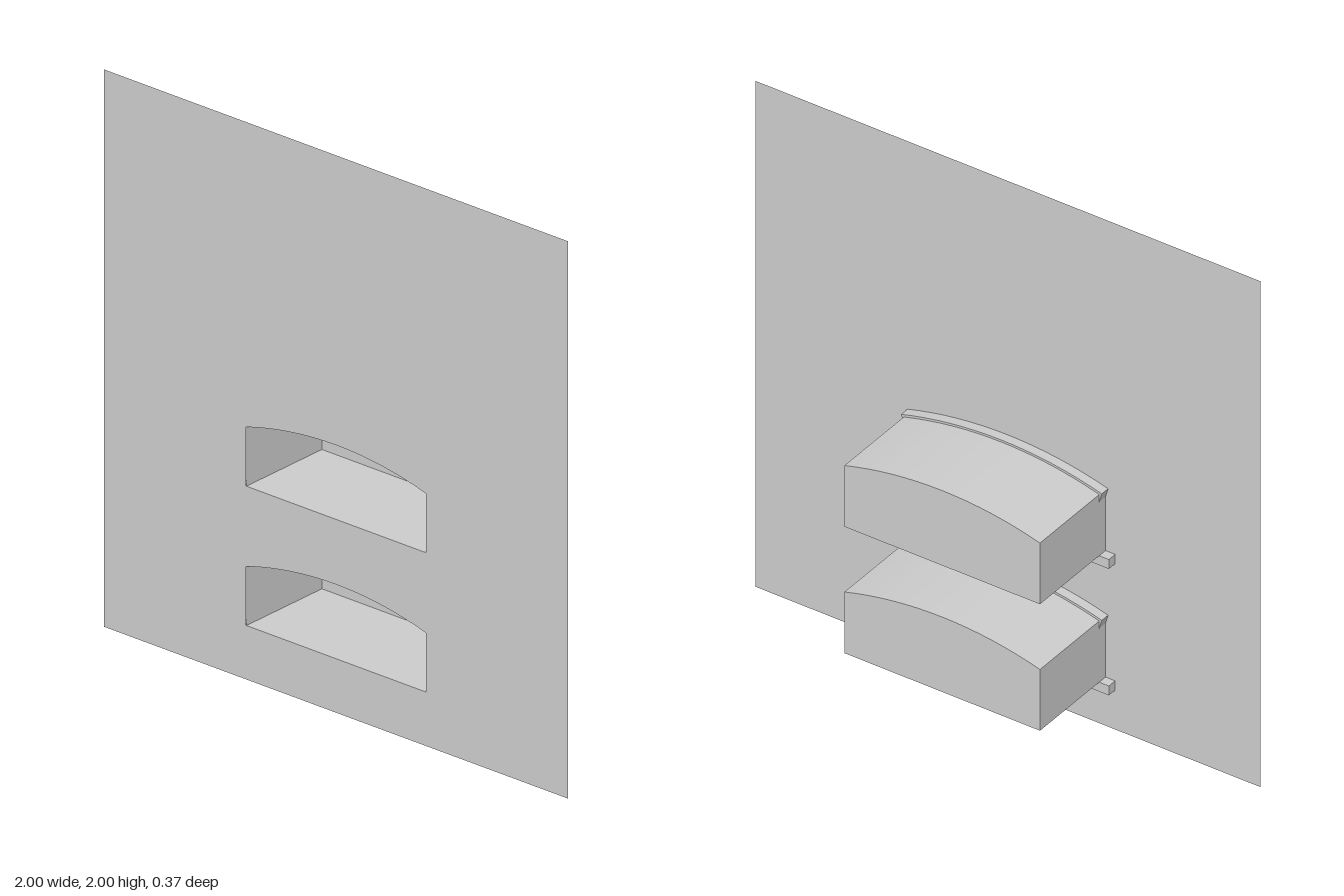
import * as THREE from 'three';

const FRONT = 0.187, DEPTH = 0.374, TRIM = 0.037;
const HALF = 0.387, BASE = 0.193, SPRING = 0.406, RISE = 0.054;
const RADIUS = (HALF * HALF + RISE * RISE) / (2 * RISE);
const CENTRE = SPRING + RISE - RADIUS;
const ANGLE = Math.asin(HALF / RADIUS);
const SEGMENTS = 16;

const material = new THREE.MeshStandardMaterial({ color: 0xcccccc, flatShading: true, side: THREE.DoubleSide });

function addMesh(parent, name, geometry, x = 0, y = 0, z = 0) {
  const mesh = new THREE.Mesh(geometry, material);
  mesh.name = name;
  mesh.position.set(x, y, z);
  parent.add(mesh);
  return mesh;
}

// Points of the shallow arch from left to right, on the given radius
function archPoints(radius) {
  return Array.from({ length: SEGMENTS + 1 }, (_, i) => {
    const a = -ANGLE + (2 * ANGLE * i) / SEGMENTS;
    return new THREE.Vector2(radius * Math.sin(a), CENTRE + radius * Math.cos(a));
  });
}

// Outline with a flat base and an arched top, raised by lift
function archedOutline(topLift, lift = 0) {
  const points = archPoints(RADIUS).map((p) => new THREE.Vector2(p.x, p.y + topLift + lift));
  return [new THREE.Vector2(-HALF, BASE + lift), ...points, new THREE.Vector2(HALF, BASE + lift)];
}

// Thin shell joining the outline at the front to the same outline at the back
function shellGeometry(outline) {
  const positions = [];
  outline.forEach((a, i) => {
    const b = outline[(i + 1) % outline.length];
    const f = FRONT - 0.001, k = FRONT - DEPTH;
    positions.push(a.x, a.y, f, b.x, b.y, f, b.x, b.y, k);
    positions.push(a.x, a.y, f, b.x, b.y, k, a.x, a.y, k);
  });
  const geometry = new THREE.BufferGeometry();
  geometry.setAttribute('position', new THREE.Float32BufferAttribute(positions, 3));
  geometry.computeVertexNormals();
  return geometry;
}

function createNiche(name, lift) {
  const niche = new THREE.Group();
  niche.name = name;
  niche.position.y = lift;

  // Recess: floor, sides and vaulted roof, closed at the back
  const outline = archedOutline(0.029);
  addMesh(niche, 'recessShell', shellGeometry(outline));
  addMesh(niche, 'recessBack', new THREE.ShapeGeometry(new THREE.Shape(outline)), 0, 0, FRONT - DEPTH);

  // Curved moulding over the opening
  const band = [...archPoints(RADIUS), ...archPoints(RADIUS + TRIM).reverse()];
  const arch = new THREE.ExtrudeGeometry(new THREE.Shape(band), { depth: TRIM - 0.001, bevelEnabled: false });
  addMesh(niche, 'archMoulding', arch, 0, 0, FRONT - TRIM);

  // Straight sill below the opening
  const sill = new THREE.BoxGeometry(0.85, TRIM, TRIM - 0.001);
  addMesh(niche, 'sill', sill, 0, BASE - TRIM / 2, FRONT - TRIM / 2 - 0.0005);
  return niche;
}

export function createModel() {
  const model = new THREE.Group();
  model.name = 'wallWithNiches';

  // Thin wall pierced by an arched opening for each niche
  const wall = new THREE.Shape([[-1, 0], [1, 0], [1, 2], [-1, 2]].map(([x, y]) => new THREE.Vector2(x, y)));
  [['lowerNiche', 0], ['upperNiche', 0.5]].forEach(([name, lift]) => {
    wall.holes.push(new THREE.Path(archedOutline(0, lift)));
    model.add(createNiche(name, lift));
  });
  addMesh(model, 'wall', new THREE.ShapeGeometry(wall), 0, 0, FRONT);
  return model;
}
